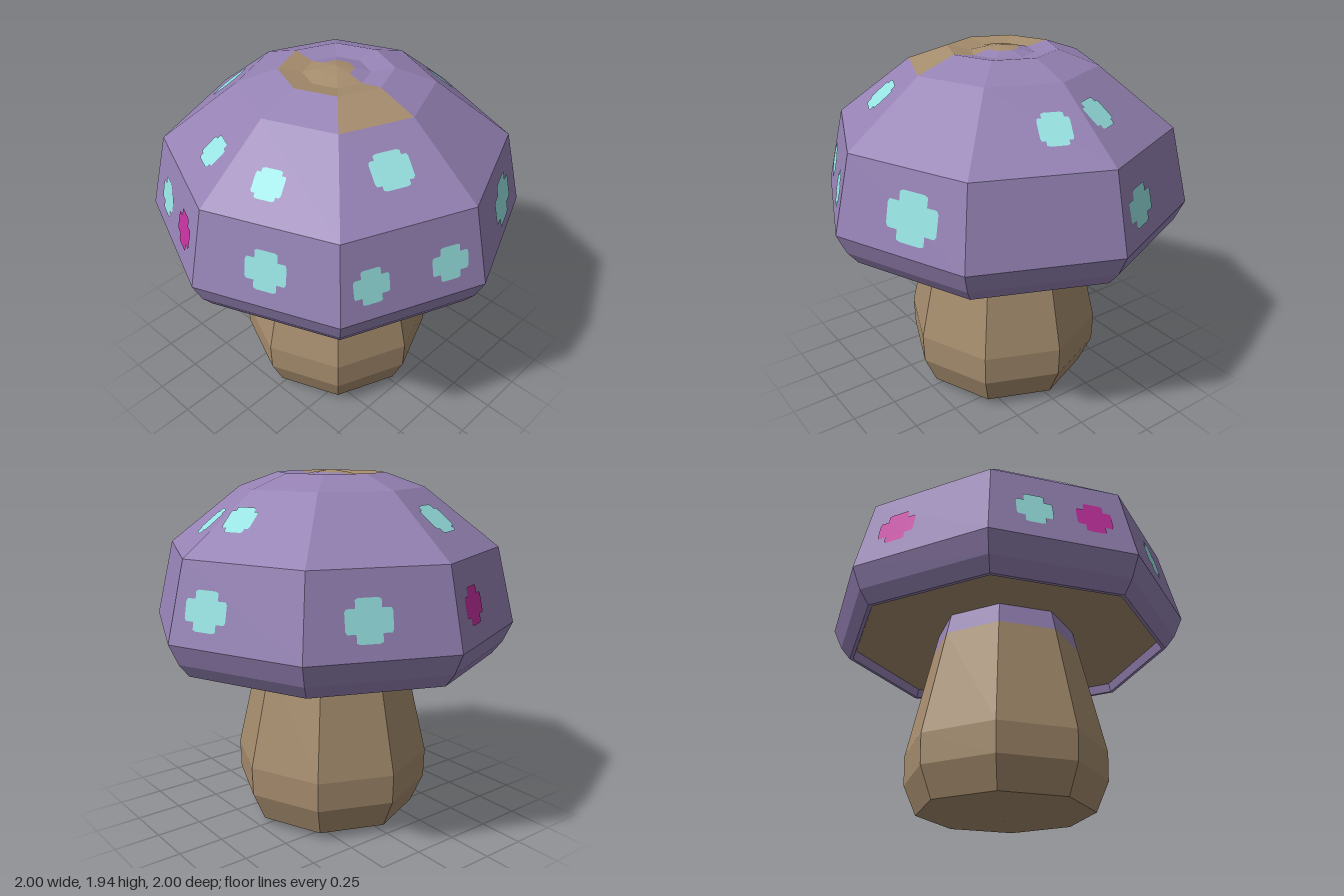
import * as THREE from 'three';

const material = (name, color) => {
  const m = new THREE.MeshStandardMaterial({ color });
  m.name = name;
  return m;
};

const SIDES = 8;
const STEP = (Math.PI * 2) / SIDES;
const APOTHEM = Math.cos(STEP / 2);

// Faceted octagonal surface from [radius, height] points listed from below to above.
function facets(name, points, mat, first = 0, count = SIDES) {
  const profile = points.map(([r, y]) => new THREE.Vector2(r, y));
  const geometry = new THREE.LatheGeometry(profile, count, first * STEP, count * STEP).toNonIndexed();
  geometry.computeVertexNormals();
  const mesh = new THREE.Mesh(geometry, mat);
  mesh.name = name;
  return mesh;
}

// Plus-shaped blotch with clipped corners; arm is the relative arm thickness.
function blotchGeometry(w, h, arm) {
  const corner = [[1, arm * 0.75], [0.93, arm], [arm, arm], [arm, 0.93], [arm * 0.75, 1]];
  const points = [];
  for (const [sx, sy] of [[1, 1], [-1, 1], [-1, -1], [1, -1]]) {
    const quarter = corner.map(([x, y]) => new THREE.Vector2((sx * x * w) / 2, (sy * y * h) / 2));
    points.push(...(sx * sy > 0 ? quarter : quarter.reverse()));
  }
  return new THREE.ShapeGeometry(new THREE.Shape(points));
}

export function createModel() {
  const purple = material('capPurple', 0x9582b4);
  const brown = material('stemBrown', 0xa58c6d);
  const cyan = material('spotCyan', 0x97e2e2);
  const pink = material('spotPink', 0xc4329f);

  const model = new THREE.Group();
  model.name = 'mushroom';

  // Stem with a shallow pointed base and a purple neck inside the cap
  const stem = new THREE.Group();
  stem.name = 'stem';
  stem.add(
    facets('stemBody', [[0, 0], [0.47, 0.04], [0.54, 0.2], [0.545, 0.36], [0.41, 0.95]], brown),
    facets('stemNeck', [[0.41, 0.95], [0.38, 1.08]], purple)
  );
  model.add(stem);

  // Cap: hollow underside, rim, walls and slopes
  const low = [1, 1.13], mid = [0.9, 1.54], high = [0.5, 1.85];
  const crown = [0.29, 1.925], dip = [0.17, 1.905], bump = [0.09, 1.925];
  const cap = new THREE.Group();
  cap.name = 'cap';
  cap.add(
    facets('capUnderside', [[0.36, 1.07], [0.86, 1.0]], brown),
    facets('capShell', [[0.86, 1.0], [0.875, 0.95], [0.895, 0.95], [0.95, 1.02], low, mid, high], purple),
    // Crown: purple with a brown half and one brown panel
    facets('crownShoulder', [high, crown], purple, 0, 7),
    facets('crownPatch', [high, crown], brown, 7, 1),
    facets('crownPurpleHalf', [crown, dip, bump], purple, 0, 4),
    facets('crownBrownHalf', [crown, dip, bump], brown, 4, 4),
    facets('crownTip', [bump, [0, 1.94]], brown)
  );
  model.add(cap);

  // Spots lying on the cap panels: [panel, sideways offset, height, width, length, colour]
  const spots = new THREE.Group();
  spots.name = 'spots';
  const addSpots = (list, [r0, y0], [r1, y1], arm) => {
    const slope = ((r0 - r1) * APOTHEM) / (y1 - y0);
    const tilt = Math.atan(slope);
    for (const [panel, u, y, w, h, mat] of list) {
      const angle = (panel + 0.5) * STEP;
      const reach = r0 * APOTHEM - (y - y0) * slope;
      const spot = new THREE.Mesh(blotchGeometry(w, h, arm), mat);
      spot.name = 'spot';
      spot.rotation.set(-tilt, angle, 0, 'YXZ');
      spot.position.set(Math.sin(angle) * reach, y, Math.cos(angle) * reach);
      spot.translateX(u);
      spot.translateZ(0.004);
      spots.add(spot);
    }
  };
  addSpots([
    [0, 0.068, 1.32, 0.29, 0.25, cyan],
    [-1, -0.214, 1.3, 0.18, 0.18, cyan],
    [-1, 0.192, 1.3, 0.19, 0.18, cyan],
    [-2, 0, 1.32, 0.21, 0.21, cyan],
    [-3, -0.137, 1.31, 0.19, 0.19, cyan],
    [-3, 0.177, 1.32, 0.19, 0.19, pink],
    [-4, -0.16, 1.32, 0.21, 0.19, pink],
    [3, -0.065, 1.31, 0.23, 0.21, cyan],
    [2, -0.173, 1.31, 0.24, 0.2, cyan],
  ], low, mid, 0.55);
  addSpots([
    [-1, -0.004, 1.71, 0.2, 0.18, cyan],
    [-2, -0.057, 1.66, 0.15, 0.15, cyan],
    [-3, 0.096, 1.67, 0.15, 0.15, cyan],
    [-4, -0.045, 1.71, 0.22, 0.19, cyan],
    [1, 0.097, 1.69, 0.16, 0.18, cyan],
    [2, -0.149, 1.715, 0.16, 0.17, cyan],
  ], mid, high, 0.68);
  model.add(spots);

  return model;
}
